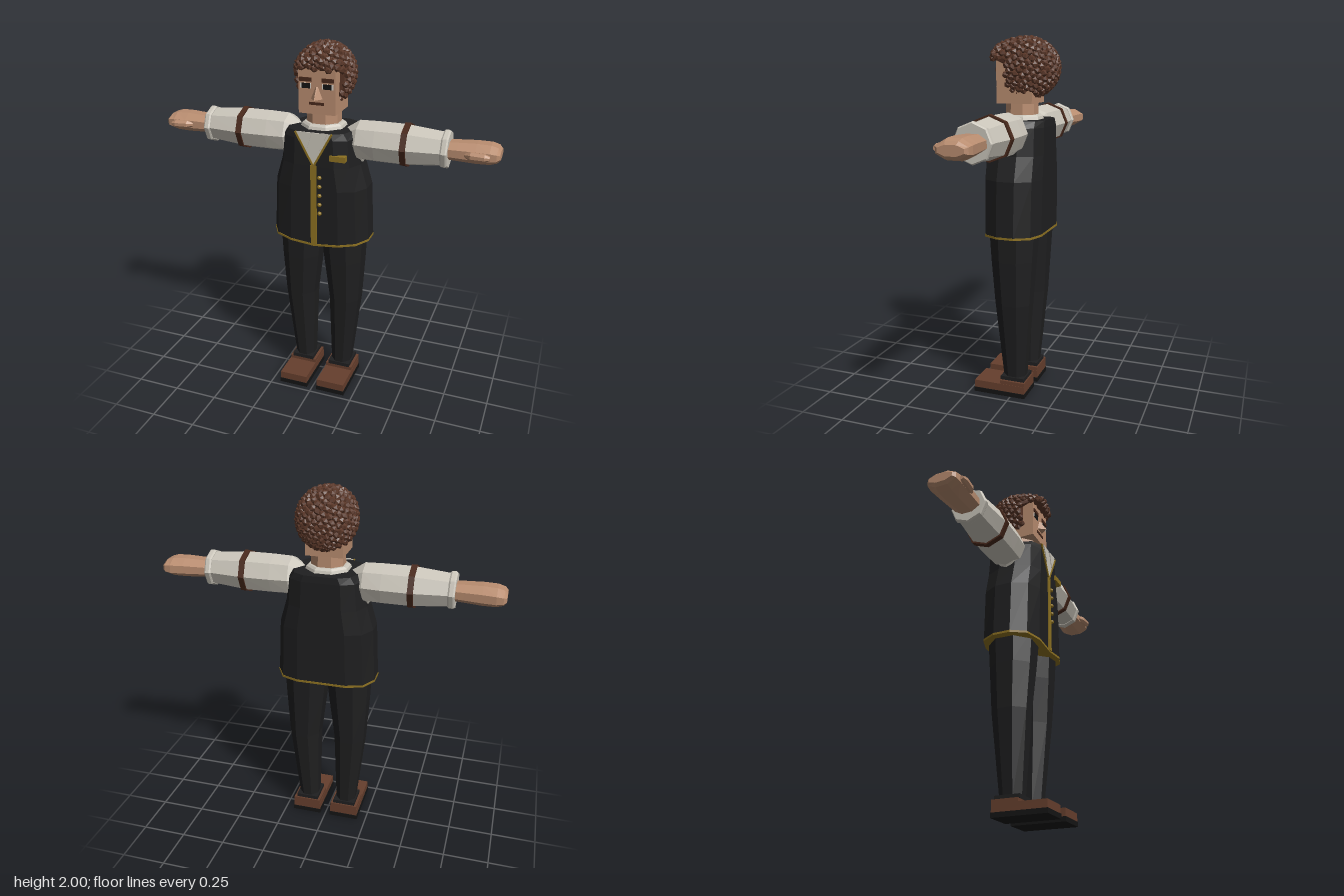
import * as THREE from 'three';
import { mergeGeometries } from 'three/addons/utils/BufferGeometryUtils.js';

const mat = (name, color, side = THREE.FrontSide) => {
  const m = new THREE.MeshStandardMaterial({ color, flatShading: true, side });
  m.name = name;
  return m;
};

// Closed loft through rings [y, halfWidth, halfDepth, centreX, centreZ] of one outline
function loft(outline, rings) {
  const n = outline.length, pos = [], idx = [];
  for (const [y, w, d, cx = 0, cz = 0] of rings)
    for (const [u, v] of outline) pos.push(cx + u * w, y, cz + v * d);
  for (let r = 0; r < rings.length - 1; r++)
    for (let i = 0; i < n; i++) {
      const a = r * n + i, b = r * n + (i + 1) % n;
      idx.push(a, b, b + n, a, b + n, a + n);
    }
  const top = (rings.length - 1) * n;
  for (let i = 1; i < n - 1; i++) idx.push(0, i + 1, i, top, top + i, top + i + 1);
  const g = new THREE.BufferGeometry();
  g.setAttribute('position', new THREE.Float32BufferAttribute(pos, 3));
  g.setIndex(idx);
  g.computeVertexNormals();
  return g;
}

const polygon = (n, turn = 0, r = 1) => Array.from({ length: n }, (_, i) => {
  const a = (i + turn) * 2 * Math.PI / n;
  return [r * Math.sin(a), r * Math.cos(a)];
});
const OCT = polygon(8), FLAT_OCT = polygon(8, 0.5, 1 / Math.cos(Math.PI / 8));
const TORSO = [[0, 1], [0.5, 1], [0.83, 0.8], [1, 0.3], [1, -0.3], [0.83, -0.8], [0.5, -1],
  [-0.5, -1], [-0.83, -0.8], [-1, -0.3], [-1, 0.3], [-0.83, 0.8], [-0.5, 1]];

// Hem dips to a point at the front centre
function dipHem(g) {
  const p = g.attributes.position;
  for (let i = 0; i < p.count; i++)
    if (p.getY(i) < 1 && p.getZ(i) > 0.1)
      p.setY(i, p.getY(i) - 0.025 * Math.max(0, 1 - Math.abs(p.getX(i)) / 0.25));
  g.computeVertexNormals();
  return g;
}

export function createModel() {
  const model = new THREE.Group();
  model.name = 'waistcoatMan';
  const skin = mat('skin', 0xb98d70), hair = mat('hairBrown', 0x5a3728);
  const cloth = mat('blackCloth', 0x1f1f20), shirt = mat('shirt', 0xcac5ba, THREE.DoubleSide);
  const gold = mat('gold', 0x8e7222), leather = mat('leather', 0x663f2d);
  const band = mat('darkBrown', 0x49291c), black = mat('soleBlack', 0x141414);
  const white = mat('eyeWhite', 0xd8d2c8);

  const add = (name, geo, m, x = 0, y = 0, z = 0, parent = model) => {
    const mesh = new THREE.Mesh(geo, m);
    mesh.name = name;
    mesh.position.set(x, y, z);
    parent.add(mesh);
    return mesh;
  };
  const box = (name, m, w, h, d, x, y, z) => add(name, new THREE.BoxGeometry(w, h, d), m, x, y, z);
  const plate = (name, m, pts, z) => add(name, new THREE.ExtrudeGeometry(
    new THREE.Shape(pts.map(p => new THREE.Vector2(...p))), { depth: 0.004, bevelEnabled: false }), m, 0, 0, z);

  // Waistcoat and hem trim
  add('waistcoat', dipHem(loft(TORSO, [[0.945, 0.275, 0.16], [1.25, 0.26, 0.163], [1.38, 0.222, 0.162],
    [1.525, 0.208, 0.16], [1.56, 0.18, 0.157]])), cloth);
  add('hemTrim', dipHem(loft(TORSO, [[0.942, 0.277, 0.163], [0.954, 0.277, 0.163]])), gold);
  box('frontTrim', gold, 0.034, 0.46, 0.008, 0, 1.155, 0.163);
  plate('shirtFront', shirt, [[0, 1.38], [0.1, 1.562], [-0.1, 1.562]], 0.161);
  for (const s of [-1, 1]) {
    const trim = box('necklineTrim', gold, 0.01, 0.208, 0.009, s * 0.05, 1.471, 0.164);
    trim.rotation.z = -s * Math.atan2(0.1, 0.182);
    plate('collarFlap', shirt, s > 0 ? [[0.008, 1.562], [0.035, 1.47], [0.08, 1.565]]
      : [[-0.008, 1.562], [-0.08, 1.565], [-0.035, 1.47]], 0.166);
  }
  for (let i = 0; i < 5; i++)
    add('button', new THREE.IcosahedronGeometry(0.012, 1), gold, 0.033, 1.32 - i * 0.051, 0.164);
  box('badge', gold, 0.085, 0.03, 0.035, 0.132, 1.435, 0.153);

  // Shirt collar, neck and head
  add('collar', loft(FLAT_OCT, [[1.53, 0.125, 0.12], [1.575, 0.11, 0.105], [1.585, 0.098, 0.095]]), shirt);
  add('neck', loft(FLAT_OCT, [[1.54, 0.088, 0.082], [1.66, 0.085, 0.08]]), skin);
  box('head', skin, 0.2, 0.255, 0.2, 0, 1.7725, 0.01);
  add('nose', loft([[-1, 0], [0, 1], [1, 0]], [[1.725, 0.032, 0.045, 0, 0.109], [1.787, 0.007, 0.008, 0, 0.109]]), skin);
  box('mouth', band, 0.08, 0.014, 0.006, 0, 1.7, 0.111);
  for (const s of [-1, 1]) {
    box('eyebrow', band, 0.066, 0.02, 0.009, s * 0.06, 1.822, 0.112);
    box('eyeWhite', white, 0.06, 0.026, 0.004, s * 0.06, 1.79, 0.111);
    box('eye', black, 0.046, 0.026, 0.006, s * 0.058, 1.79, 0.112);
  }

  // Hair: a core cap covered in faceted curls, pushed forward as a fringe
  const shapeHair = (v) => {
    if (v.y > 1.86 && v.z > 0) v.z = Math.min(v.z * 1.4, 0.138);
    return v;
  };
  const core = new THREE.IcosahedronGeometry(1, 5).scale(0.147, 0.152, 0.172).translate(0, 1.83, -0.025);
  const cp = core.attributes.position, v = new THREE.Vector3();
  for (let i = 0; i < cp.count; i++) {
    shapeHair(v.fromBufferAttribute(cp, i));
    if (v.y < 1.865) v.z = Math.min(v.z, 0.045);
    cp.setXYZ(i, v.x, v.y, v.z);
  }
  core.computeVertexNormals();
  add('hairCap', core, hair);
  const curls = [], COUNT = 340;
  for (let i = 0; i < COUNT; i++) {
    const h = 1 - 2 * (i + 0.5) / COUNT, r = Math.sqrt(1 - h * h), a = i * 2.39996;
    const p = shapeHair(new THREE.Vector3(0.147 * r * Math.cos(a), 1.83 + 0.152 * h, -0.025 + 0.172 * r * Math.sin(a)));
    if (p.y < 1.88 && p.z > 0.045) continue;
    curls.push(new THREE.IcosahedronGeometry(0.021, 0).rotateX(i).rotateY(i * 1.7).translate(p.x, p.y, p.z));
  }
  add('curls', mergeGeometries(curls), hair);

  for (const s of [-1, 1]) {
    // Arm: built upright, then laid out sideways
    const arm = new THREE.Group();
    arm.name = s > 0 ? 'leftArm' : 'rightArm';
    arm.position.y = 1.5;
    arm.rotation.z = -s * Math.PI / 2;
    model.add(arm);
    const limb = (name, m, rings, outline = OCT) => add(name, loft(outline, rings), m, 0, 0, 0, arm);
    limb('sleeve', shirt, [[0.13, 0.06, 0.06], [0.2, 0.107, 0.105], [0.3, 0.11, 0.112], [0.45, 0.11, 0.114], [0.65, 0.09, 0.092]]);
    limb('sleeveBand', band, [[0.44, 0.118, 0.122], [0.47, 0.118, 0.122]]);
    limb('cuff', shirt, [[0.64, 0.095, 0.096], [0.648, 0.102, 0.102], [0.668, 0.102, 0.102], [0.676, 0.095, 0.096]]);
    limb('hand', skin, [[0.66, 0.045, 0.07, 0, -0.004], [0.72, 0.048, 0.074, 0, -0.006], [0.81, 0.052, 0.08, 0, -0.01],
      [0.88, 0.05, 0.085, 0, -0.013], [0.915, 0.04, 0.08, 0, -0.014], [0.93, 0.025, 0.065, 0, -0.014]], FLAT_OCT);
    limb('thumb', skin, [[0.76, 0.01, 0.012, 0, 0.062], [0.79, 0.022, 0.024, 0, 0.07],
      [0.86, 0.02, 0.022, 0, 0.078], [0.885, 0.01, 0.012, 0, 0.078]], FLAT_OCT);

    // Underarm shirt gusset
    add('underarm', loft(OCT, [[1.365, 0.01, 0.025], [1.42, 0.035, 0.07]]), shirt, s * 0.205);

    // Trouser leg with hem
    add('trouserLeg', loft(FLAT_OCT, [[0.1, 0.056, 0.062, s * 0.115, -0.004], [0.55, 0.086, 0.1, s * 0.134, -0.003],
      [0.8, 0.108, 0.118, s * 0.126], [0.98, 0.12, 0.13, s * 0.12]]), cloth);
    box('trouserHem', cloth, 0.13, 0.022, 0.14, s * 0.115, 0.1, -0.005);

    // Shoe
    box('sole', black, 0.17, 0.026, 0.305, s * 0.115, 0.013, 0.068);
    box('shoeToe', leather, 0.164, 0.044, 0.3, s * 0.115, 0.047, 0.068);
    box('shoeHeel', leather, 0.16, 0.04, 0.145, s * 0.115, 0.07, -0.01);
  }
  return model;
}
